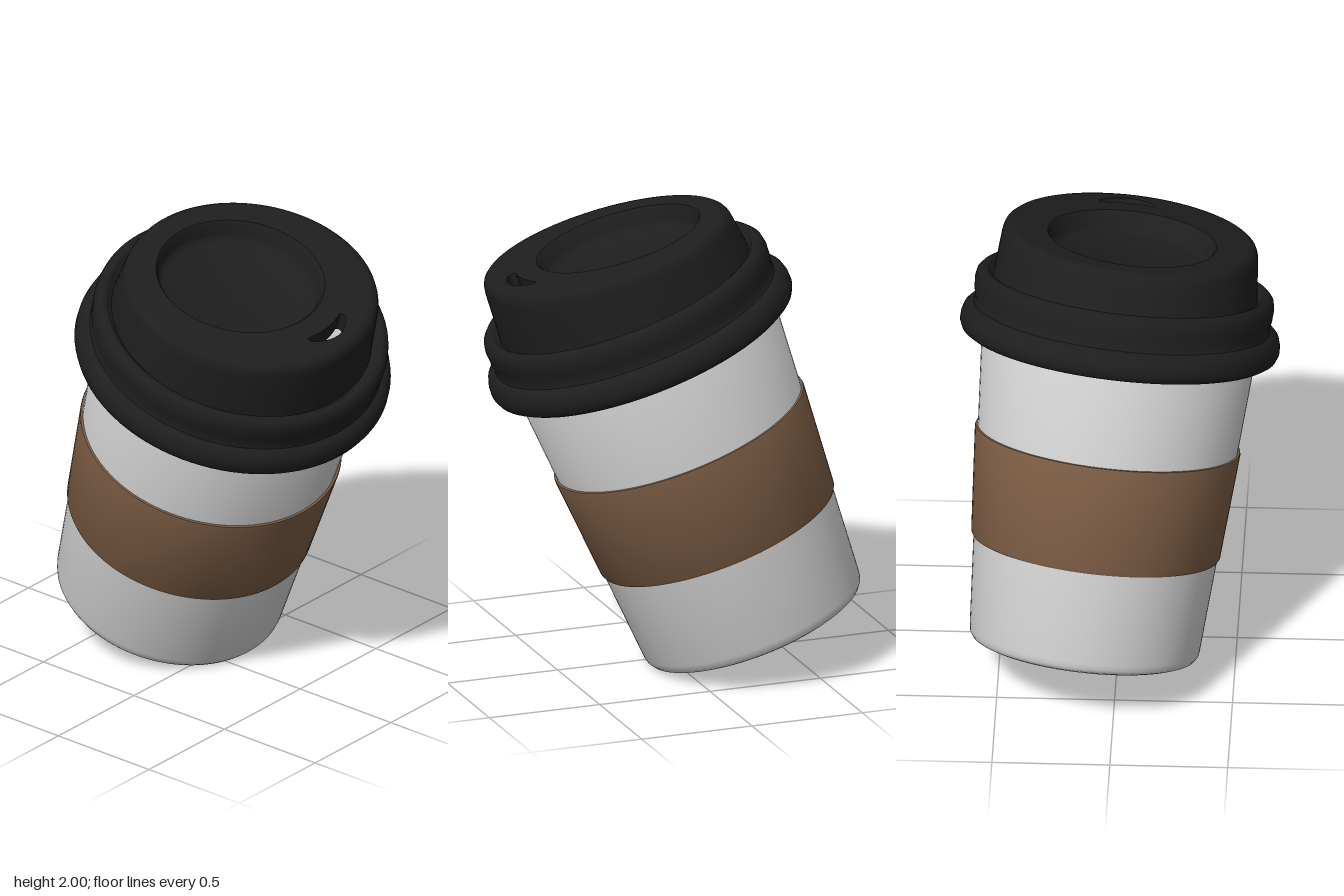
import * as THREE from 'three';
import { toCreasedNormals } from 'three/addons/utils/BufferGeometryUtils.js';

const SEGMENTS = 96;
const SLOPE = 0.084; // the lid top rises toward the sip opening
const TOP = 1.795;

function material(color) {
  return new THREE.MeshStandardMaterial({ color, side: THREE.DoubleSide });
}

function lathe(points) {
  return new THREE.LatheGeometry(points.map(([r, y]) => new THREE.Vector2(r, y)), SEGMENTS);
}

// Slant the upper part of the lid, fading out downward.
function slant(geometry) {
  const p = geometry.attributes.position;
  for (let i = 0; i < p.count; i++) {
    const y = p.getY(i);
    const w = THREE.MathUtils.clamp((y - 1.6) / 0.1, 0, 1);
    p.setY(i, y + SLOPE * p.getX(i) * w);
  }
  return geometry;
}

// Vertical wall hanging below a closed outline in the lid top.
function outlineWall(path, depth) {
  const points = path.getPoints(16);
  const geometry = new THREE.PlaneGeometry(1, 1, points.length - 1, 1);
  const p = geometry.attributes.position;
  for (let i = 0; i < p.count; i++) {
    const { x, y } = points[i % points.length];
    p.setXYZ(i, x, i < points.length ? TOP : TOP - depth, -y);
  }
  return geometry;
}

function part(name, geometry, mat) {
  const mesh = new THREE.Mesh(toCreasedNormals(geometry, 0.75), mat);
  mesh.name = name;
  return mesh;
}

export function createModel() {
  const model = new THREE.Group();
  model.name = 'takeawayCup';

  // Tapered cup with a hollow underside and an open interior
  const cup = part('cup', lathe([
    [0, 0.06], [0.36, 0.06], [0.378, 0.05], [0.392, 0.015], [0.408, -0.01], [0.43, -0.021],
    [0.454, -0.022], [0.476, -0.013], [0.487, 0.003], [0.491, 0.025],
    [0.594, 1.45], [0.587, 1.46], [0.579, 1.45], [0.478, 0.1], [0, 0.1],
  ]), material(0xcccccc));

  // Sleeve band around the middle
  const sleeve = part('sleeve', lathe([
    [0.515, 0.426], [0.525, 0.427], [0.531, 0.438],
    [0.566, 0.888], [0.564, 0.898], [0.55, 0.9],
  ]), material(0x7a5b43));

  // Lid: two stacked rounded rims, a groove, then the raised cap
  const lid = new THREE.Group();
  lid.name = 'lid';
  const dark = material(0x1e1e1e);
  lid.add(part('lidBody', slant(lathe([
    [0.575, 1.335], [0.59, 1.313], [0.615, 1.305], [0.648, 1.308], [0.67, 1.322], [0.681, 1.348],
    [0.68, 1.378], [0.671, 1.408], [0.654, 1.426], [0.632, 1.434], [0.627, 1.45],
    [0.635, 1.49], [0.638, 1.535], [0.632, 1.565], [0.617, 1.582], [0.598, 1.587],
    [0.582, 1.58], [0.573, 1.565], [0.563, 1.56], [0.557, 1.62], [0.547, 1.735],
    [0.543, 1.76], [0.535, 1.779], [0.521, 1.791], [0.503, TOP],
  ])), dark));

  // Lid top with openings for the round recess and the curved sip slot
  const recessX = -0.065;
  const recessR = 0.36;
  const top = new THREE.Shape().absarc(0, 0, 0.503, 0, Math.PI * 2);
  top.holes.push(new THREE.Path().absarc(recessX, 0, recessR, 0, Math.PI * 2, true));
  const slot = new THREE.Path();
  slot.moveTo(0.38, 0.11);
  slot.quadraticCurveTo(0.412, 0, 0.38, -0.11);
  slot.quadraticCurveTo(0.395, -0.13, 0.418, -0.105);
  slot.quadraticCurveTo(0.5, 0, 0.418, 0.105);
  slot.quadraticCurveTo(0.395, 0.13, 0.38, 0.11);
  top.holes.push(slot);
  const topGeometry = new THREE.ShapeGeometry(top, SEGMENTS / 2);
  topGeometry.rotateX(-Math.PI / 2).translate(0, TOP, 0);
  lid.add(part('lidTop', slant(topGeometry), dark));
  lid.add(part('sipSlotWall', slant(outlineWall(slot, 0.09)), dark));

  // Sunken round panel
  const recess = lathe([
    [recessR, TOP], [0.35, TOP - 0.012], [0.34, TOP - 0.06],
    [0.33, TOP - 0.08], [0.31, TOP - 0.09], [0, TOP - 0.09],
  ]).translate(recessX, 0, 0);
  lid.add(part('lidRecess', slant(recess), dark));

  model.add(cup, sleeve, lid);

  // Lean the whole cup on the edge of its base
  const leaning = new THREE.Group();
  leaning.name = 'leaningCup';
  const up = new THREE.Vector3(0.337, 0.937, 0.098).normalize();
  const side = new THREE.Vector3(0.94, -0.328, -0.09);
  const front = new THREE.Vector3().crossVectors(side, up).normalize();
  side.crossVectors(up, front);
  model.quaternion.setFromRotationMatrix(new THREE.Matrix4().makeBasis(side, up, front));
  model.position.set(-0.333, 0.179, -0.135);
  leaning.add(model);
  return leaning;
}
